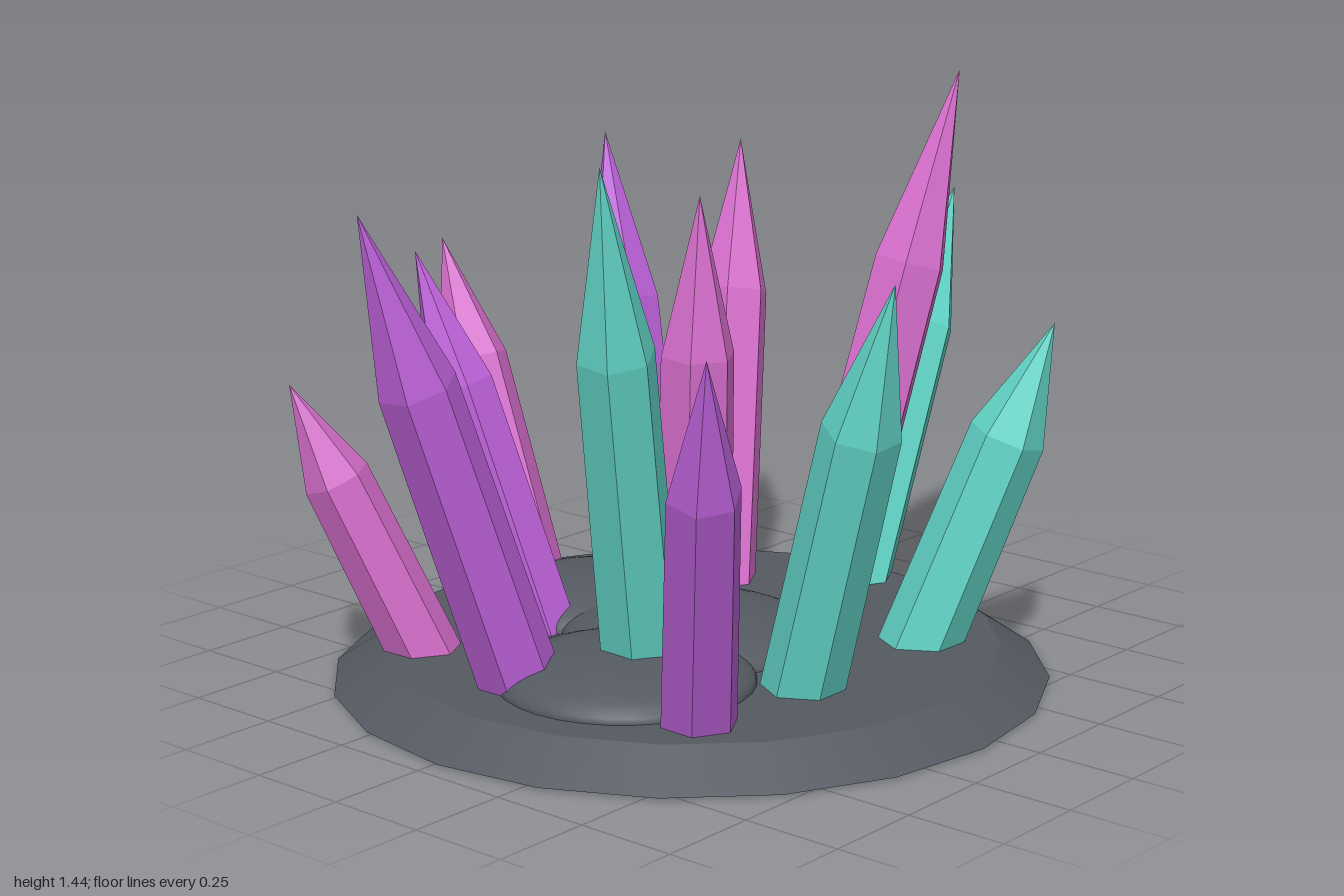
import * as THREE from 'three';

const material = (name, color) => {
  const m = new THREE.MeshStandardMaterial({ color });
  m.name = name;
  return m;
};

export function createModel() {
  const model = new THREE.Group();
  model.name = 'crystalCluster';
  const stone = material('darkStone', 0x555a62);
  const teal = material('tealCrystal', 0x64d8ca);
  const pink = material('pinkCrystal', 0xd76ecd);
  const purple = material('purpleCrystal', 0xbf63dc);

  const add = (name, geometry, mat, x, y, z) => {
    const mesh = new THREE.Mesh(geometry, mat);
    mesh.name = name;
    mesh.position.set(x, y, z);
    model.add(mesh);
    return mesh;
  };

  // Bevelled stone disc
  const FLOOR = 0.08;
  add('stoneBase', new THREE.CylinderGeometry(0.76, 0.88, FLOOR, 20), stone, -0.075, FLOOR / 2, 0.015);

  // Low rounded mounds: x, z, radius
  [[-0.07, 0.01, 0.32], [-0.42, 0.11, 0.31], [-0.02, -0.36, 0.28]].forEach(([x, z, r], i) => {
    const mound = new THREE.SphereGeometry(1, 32, 20).scale(r, 0.085, r);
    add(`stoneMound${i + 1}`, mound, stone, x, FLOOR, z);
  });

  // Six-sided shaft with a long pointed tip, from the stone surface to the tip
  const UP = new THREE.Vector3(0, 1, 0);
  const EMBED = 0.05;
  const crystal = (name, mat, [bx, bz], [tx, ty, tz], r, twist = 0) => {
    const axis = new THREE.Vector3(tx - bx, ty - FLOOR, tz - bz);
    const length = axis.length();
    const profile = [[0, -EMBED], [r, -EMBED], [r * 0.93, length * 0.65], [0, length]]
      .map(([px, py]) => new THREE.Vector2(px, py));
    const geometry = new THREE.LatheGeometry(profile, 6).rotateY(twist).toNonIndexed();
    geometry.computeVertexNormals();
    const mesh = add(name, geometry, mat, bx, FLOOR, bz);
    mesh.quaternion.setFromUnitVectors(UP, axis.normalize());
  };

  const T = Math.PI / 6;
  crystal('centreCrystal', pink, [-0.07, 0.02], [-0.105, 1.19, 0.07], 0.1);
  crystal('leftCrystal', teal, [0.59, 0.01], [0.99, 1.06, 0.02], 0.102);
  crystal('tallCrystal', pink, [0.27, 0.14], [0.64, 1.43, 0.28], 0.102);
  crystal('backLeftCrystal', pink, [0.35, -0.25], [0.66, 1.18, -0.44], 0.1);
  crystal('backCrystal', pink, [-0.01, -0.59], [0.01, 0.95, -0.91], 0.098);
  crystal('innerBackCrystal', purple, [0.03, -0.2], [0.165, 1.255, -0.475], 0.1, T);
  crystal('innerBackRightCrystal', purple, [-0.25, -0.33], [-0.39, 1.015, -0.6], 0.092, T);
  crystal('backRightCrystal', pink, [-0.56, -0.43], [-0.78, 0.745, -0.635], 0.088);
  crystal('rightCrystal', purple, [-0.6, -0.06], [-1.0, 1.245, -0.15], 0.1);
  crystal('innerRightCrystal', teal, [-0.37, 0.12], [-0.68, 1.355, 0.275], 0.1);
  crystal('frontRightCrystal', purple, [-0.53, 0.43], [-0.805, 1.01, 0.685], 0.093);
  crystal('frontCrystal', teal, [-0.185, 0.455], [-0.275, 1.1, 0.775], 0.1, T);
  crystal('frontLeftCrystal', teal, [0.275, 0.46], [0.455, 0.88, 0.705], 0.1, T);
  return model;
}
